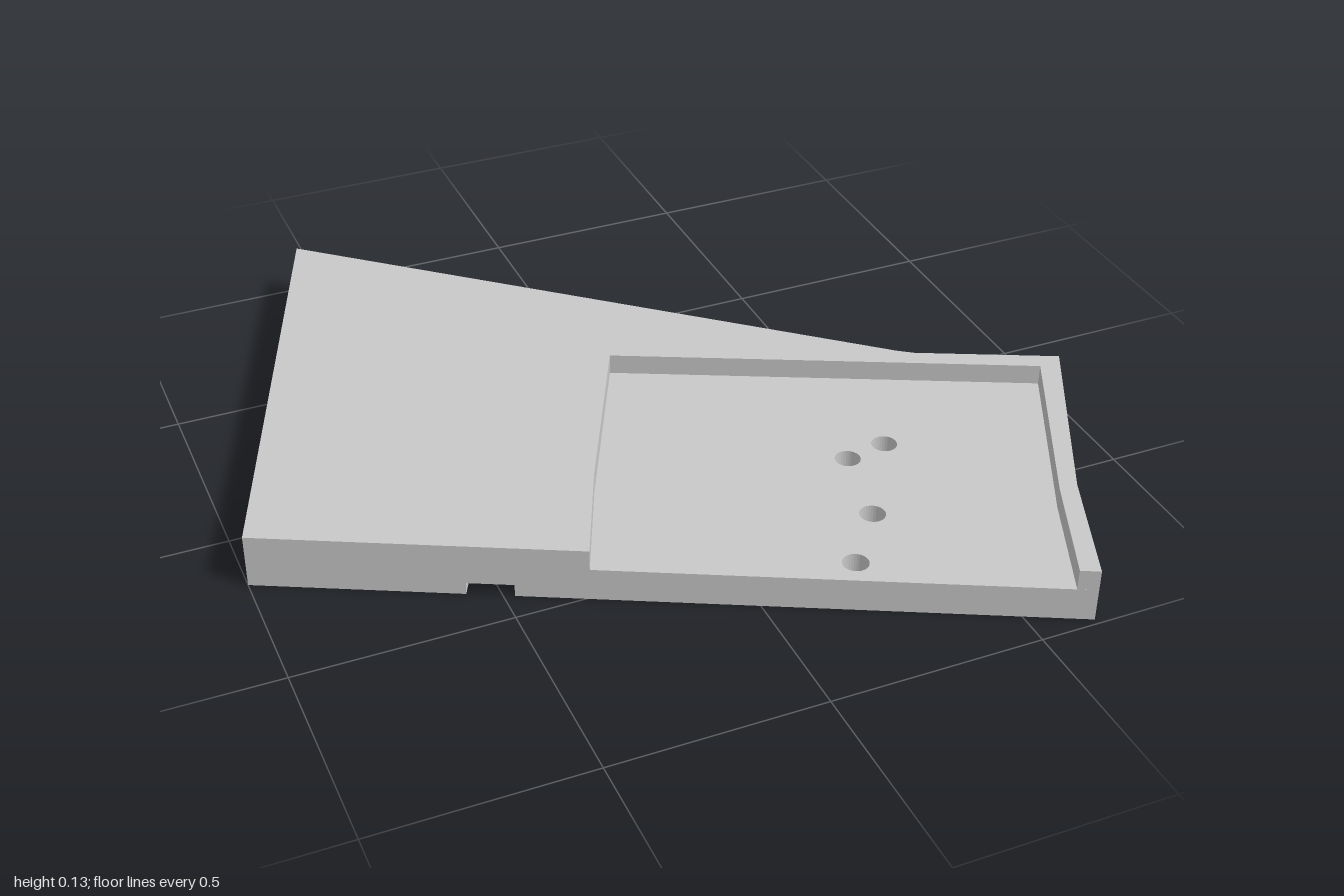
import * as THREE from 'three';

const grey = new THREE.MeshStandardMaterial({ color: 0xc8c8c8 });
grey.name = 'light grey';

// Plan corners as [x, z], clockwise seen from above
const backLeft = [-0.56, -0.987], frontLeft = [-1, 0.17], tip = [0.638, 0.986];
const farEdge = [backLeft, [0.65, 0.058], [0.685, 0.083], [1, 0.232], [0.757, 0.7], tip];
const pocketEdge = [[0.597, 0.965], [0.712, 0.7], [0.935, 0.252], [0, -0.192], [-0.218, 0.25], [-0.33, 0.504]];
const cavity = [[-0.68, 0.05], [-0.362, -0.768], [0.607, 0.031], [-0.014, -0.241], [-0.263, 0.251]];
const drillHoles = [[0.368, 0.352], [0.473, 0.332], [0.322, 0.561], [0.207, 0.702]];

// Hooked slot cut inwards from the edge a-b, centred at a distance along it
function slot(a, b, centre) {
  const len = Math.hypot(b[0] - a[0], b[1] - a[1]);
  const u = [(b[0] - a[0]) / len, (b[1] - a[1]) / len];
  return [[-0.053, 0], [-0.053, 0.165], [-0.076, 0.165], [-0.076, 0.213],
    [0.053, 0.213], [0.053, 0]].map(([s, d]) => [
    a[0] + u[0] * (centre + s) - u[1] * d,
    a[1] + u[1] * (centre + s) + u[0] * d,
  ]);
}

const toPoints = (list) => list.map(([x, z]) => new THREE.Vector2(x, -z)).reverse();

// Horizontal slab of the body between two heights
function slab(name, outline, y0, y1, hasCavity, hasDrillHoles) {
  const shape = new THREE.Shape(toPoints(outline));
  if (hasCavity) shape.holes.push(new THREE.Path(toPoints(cavity)));
  if (hasDrillHoles) {
    for (const [x, z] of drillHoles) {
      shape.holes.push(new THREE.Path().absarc(x, -z, 0.03, 0, Math.PI * 2, true));
    }
  }
  const geometry = new THREE.ExtrudeGeometry(shape, { depth: y1 - y0, bevelEnabled: false, curveSegments: 16 });
  geometry.rotateX(-Math.PI / 2).translate(0, y0, 0);
  const mesh = new THREE.Mesh(geometry, grey);
  mesh.name = name;
  return mesh;
}

// Stiffening rib under the raised part
function rib(name, x0, x1, z0, z1) {
  const mesh = new THREE.Mesh(new THREE.BoxGeometry(x1 - x0, 0.1, z1 - z0), grey);
  mesh.position.set((x0 + x1) / 2, 0.05, (z0 + z1) / 2);
  mesh.name = name;
  return mesh;
}

export function createModel() {
  const group = new THREE.Group();
  group.name = 'base plate';

  const full = [...farEdge, frontLeft];
  const slotted = [...farEdge, ...slot(tip, frontLeft, 1.298), frontLeft, ...slot(frontLeft, backLeft, 0.511)];
  const raised = [...farEdge, ...pocketEdge, frontLeft];

  // Body: slotted foot, pocket floor, pocket walls, top skin
  group.add(
    slab('slottedFoot', slotted, 0, 0.03, true, true),
    slab('pocketFloor', full, 0.03, 0.08, true, true),
    slab('pocketWall', raised, 0.08, 0.1, true, false),
    slab('topSkin', raised, 0.1, 0.13, false, false),
  );

  // Square grid of ribs inside the underside cavity
  const w = 0.015;
  group.add(
    rib('crossRibMiddle', -0.615, -0.05, -0.148 - w, -0.148 + w),
    rib('crossRibFar', 0.16, 0.39, -0.148 - w, -0.148 + w),
    rib('crossRibBack', -0.42, -0.2, -0.648 - w, -0.648 + w),
    rib('longRibLeft', -0.2 - w, -0.2 + w, -0.645, 0.16),
    rib('longRibRight', 0.325 - w, 0.325 + w, -0.205, -0.08),
  );
  return group;
}
